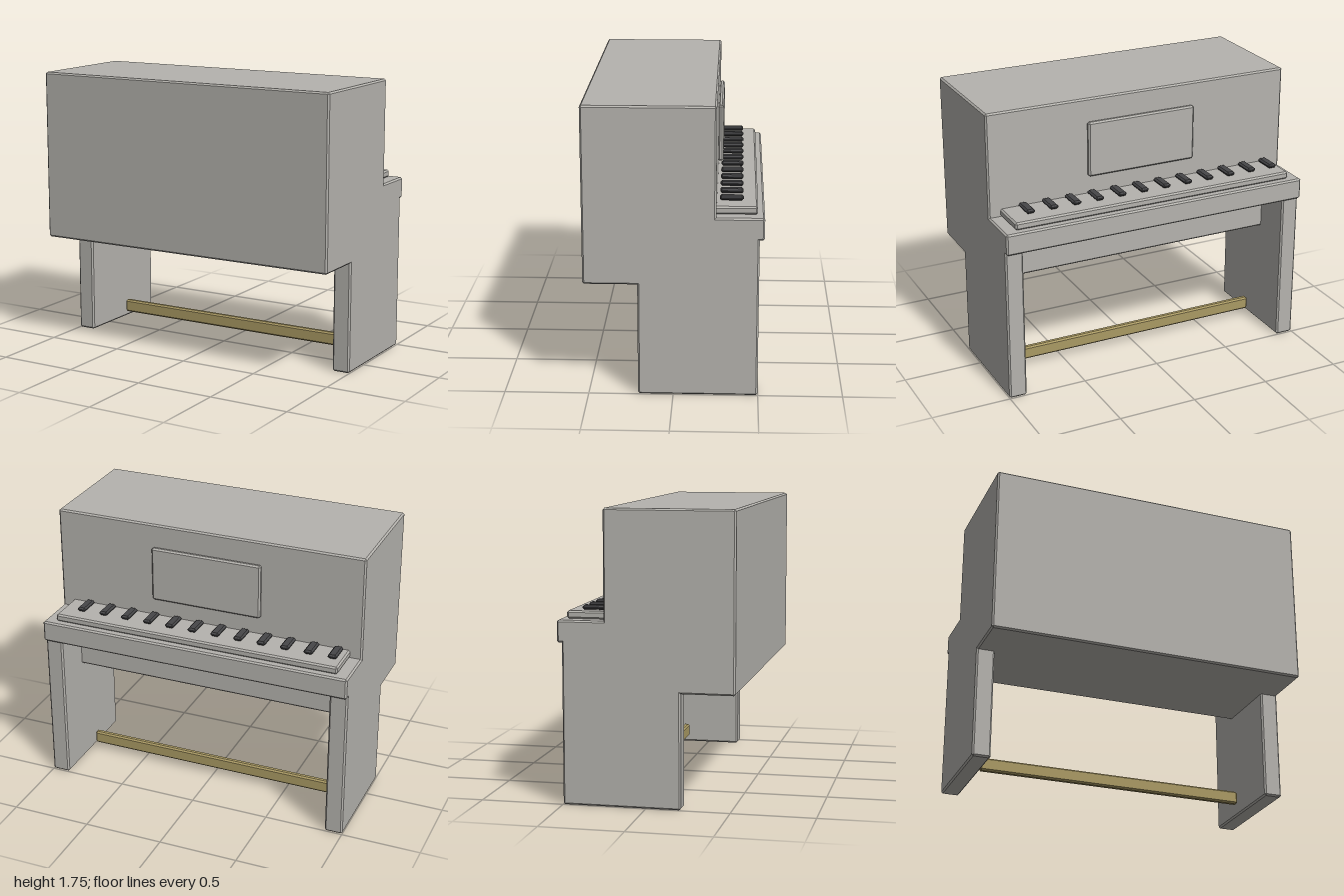
import * as THREE from 'three';
import { ConvexGeometry } from 'three/addons/geometries/ConvexGeometry.js';

// Box with chamfered edges, given by its [min, max] range on each axis
function chamferBox(x, y, z, c) {
  const mid = [x, y, z].map(r => (r[0] + r[1]) / 2);
  const half = [x, y, z].map(r => (r[1] - r[0]) / 2);
  const points = [];
  for (const sx of [-1, 1]) for (const sy of [-1, 1]) for (const sz of [-1, 1]) {
    for (let full = 0; full < 3; full++) {
      const p = [sx, sy, sz].map((s, i) => s * (half[i] - (i === full ? 0 : c)));
      points.push(new THREE.Vector3(...p));
    }
  }
  const geometry = new ConvexGeometry(points);
  geometry.translate(...mid);
  return geometry;
}

export function createModel() {
  const piano = new THREE.Group();
  piano.name = 'uprightPiano';

  const material = (name, color) => {
    const m = new THREE.MeshStandardMaterial({ color });
    m.name = name;
    return m;
  };
  const grey = material('casePaint', 0xb5b3ae);
  const brass = material('brass', 0xaa9a64);
  const dark = material('darkKeys', 0x464648);

  const add = (name, mat, x, y, z, c = 0.01) => {
    const mesh = new THREE.Mesh(chamferBox(x, y, z, c), mat);
    mesh.name = name;
    piano.add(mesh);
  };

  // Case, key bed and keyboard; the player sits on the -z side
  add('upperCase', grey, [-1, 1], [0.685, 1.747], [-0.248, 0.527]);
  add('keyBed', grey, [-1, 1], [0.962, 1.095], [-0.527, -0.22]);
  add('keyboard', grey, [-0.925, 0.925], [1.095, 1.142], [-0.487, -0.235]);
  add('musicStand', grey, [-0.357, 0.357], [1.257, 1.603], [-0.28, -0.247]);

  // Side panels that carry the case
  add('leftSidePanel', grey, [0.887, 1], [0, 1.0], [-0.498, 0.208]);
  add('rightSidePanel', grey, [-1, -0.887], [0, 1.0], [-0.498, 0.208]);

  // Rail between the side panels
  add('pedalRail', brass, [-0.857, 0.857], [0.048, 0.13], [-0.165, -0.125]);

  // Evenly spaced dark keys
  for (let i = 0; i < 12; i++) {
    const x = -0.862 + i * 0.1503;
    add('darkKey' + (i + 1), dark, [x - 0.028, x + 0.028], [1.146, 1.172], [-0.404, -0.266]);
  }

  return piano;
}
